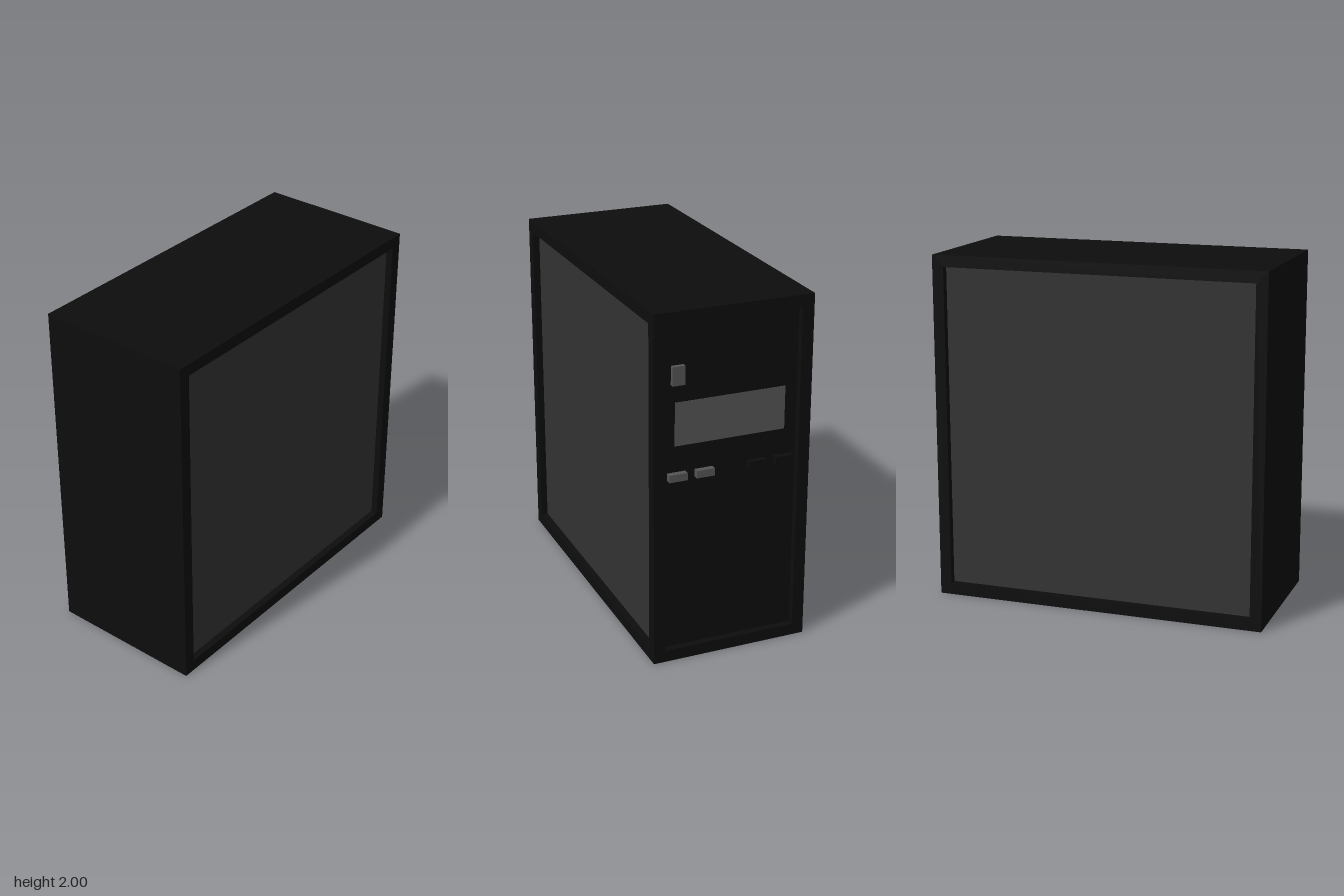
import * as THREE from 'three';

const W = 0.904, H = 2, D = 1.94; // overall size
const RIM = 0.067, RECESS = 0.04, PANEL = 0.01;

const black = new THREE.MeshStandardMaterial({ color: 0x0d0d0d });
const tinted = new THREE.MeshStandardMaterial({ color: 0x333333 });
const metal = new THREE.MeshStandardMaterial({ color: 0x555555 });

function add(group, name, geometry, material, x, y, z) {
  const mesh = new THREE.Mesh(geometry, material);
  mesh.name = name;
  mesh.position.set(x, y, z);
  group.add(mesh);
  return mesh;
}

function rectangle(path, halfW, y0, y1) {
  path.moveTo(-halfW, y0);
  path.lineTo(halfW, y0);
  path.lineTo(halfW, y1);
  path.lineTo(-halfW, y1);
  path.closePath();
  return path;
}

// Rectangular frame, centred on its thickness
function frameGeometry(halfOuter, halfInner, depth) {
  const shape = rectangle(new THREE.Shape(), halfOuter, 0, H);
  shape.holes.push(rectangle(new THREE.Path(), halfInner, RIM, H - RIM));
  return new THREE.ExtrudeGeometry(shape, { depth, bevelEnabled: false }).translate(0, 0, -depth / 2);
}

export function createModel() {
  const model = new THREE.Group();
  model.name = 'computerTower';
  const sideDepth = RECESS + PANEL;
  const coreW = W - 2 * sideDepth;

  // Solid body behind the frames
  add(model, 'body', new THREE.BoxGeometry(coreW, H, D - RECESS), black, 0, H / 2, RECESS / 2);

  // Side frames with recessed windows
  const sideFrame = frameGeometry(D / 2, D / 2 - RIM, sideDepth).rotateY(Math.PI / 2);
  const window = new THREE.BoxGeometry(PANEL, H - 2 * RIM, D - 2 * RIM);
  for (const [side, s] of [['left', 1], ['right', -1]]) {
    add(model, side + 'Frame', sideFrame, black, s * (W - sideDepth) / 2, 0, 0);
    add(model, side + 'Window', window, tinted, s * (coreW + PANEL) / 2, H / 2, 0);
  }

  // Back frame around the recessed rear panel
  add(model, 'backFrame', frameGeometry(coreW / 2, W / 2 - RIM, RECESS), black, 0, 0, -(D - RECESS) / 2);

  // Rear fittings: name, centre x, centre y, width, height, protrusion, material
  const fittings = [
    ['powerSocket', 0.305, 1.647, 0.07, 0.105, 0.025, metal],
    ['portPlate', 0, 1.372, 0.634, 0.244, 0.002, metal],
    ['outerPortLeft', 0.308, 1.082, 0.104, 0.042, 0.033, metal],
    ['innerPortLeft', 0.152, 1.082, 0.102, 0.042, 0.033, metal],
    ['innerPortRight', -0.152, 1.082, 0.102, 0.042, 0.033, black],
    ['outerPortRight', -0.308, 1.082, 0.104, 0.042, 0.033, black],
  ];
  const backZ = -D / 2 + RECESS;
  for (const [name, x, y, w, h, d, material] of fittings) {
    add(model, name, new THREE.BoxGeometry(w, h, d), material, x, y, backZ - d / 2);
  }
  return model;
}
